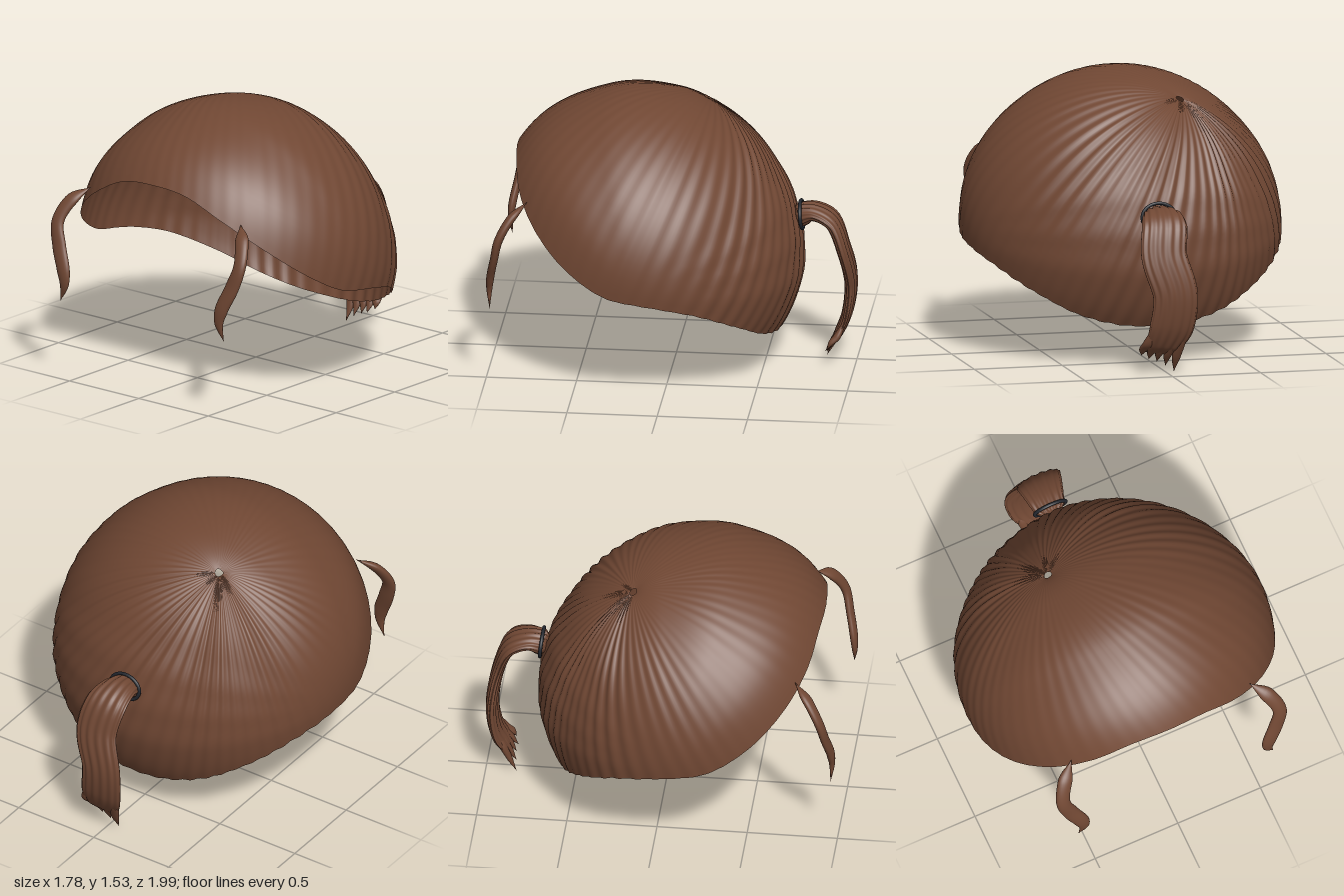
import * as THREE from 'three';

const V = (x, y, z) => new THREE.Vector3(x, y, z);
const hair = new THREE.MeshStandardMaterial({ name: 'brownHair', color: 0x704733, side: THREE.DoubleSide });
const band = new THREE.MeshStandardMaterial({ name: 'darkBand', color: 0x22262d });

// Smooth surface through closed rings of points
function skin(rings) {
  const n = rings[0].length, pos = [], idx = [];
  rings.forEach(r => r.forEach(p => pos.push(p.x, p.y, p.z)));
  for (let i = 0; i < rings.length - 1; i++) {
    for (let j = 0; j < n; j++) {
      const a = i * n + j, b = a + n, c = i * n + (j + 1) % n, d = c + n;
      idx.push(a, b, c, c, b, d);
    }
  }
  const g = new THREE.BufferGeometry();
  g.setAttribute('position', new THREE.Float32BufferAttribute(pos, 3));
  g.setIndex(idx);
  g.computeVertexNormals();
  return g;
}

// Linear lookup in a list of [key, value] pairs with rising keys
function lookup(list, k) {
  if (k <= list[0][0]) return list[0][1];
  for (let i = 1; i < list.length; i++) {
    const [k0, v0] = list[i - 1], [k1, v1] = list[i];
    if (k <= k1) return v0 + (v1 - v0) * THREE.MathUtils.smoothstep(k, k0, k1);
  }
  return list[list.length - 1][1];
}

// Flattened lock of hair: each stop is [x, y, z, halfWidth, halfThickness]
function lock(stops, rows = 40, sides = 24, ridge = 0) {
  const path = new THREE.CatmullRomCurve3(stops.map(s => V(s[0], s[1], s[2])));
  const size = new THREE.CatmullRomCurve3(stops.map(s => V(s[3], s[4], 0)));
  const rings = [];
  for (let i = 0; i <= rows; i++) {
    const t = i / rows, p = path.getPoint(t), T = path.getTangent(t), s = size.getPoint(t);
    const W = V(1, 0, 0).addScaledVector(T, -T.x).normalize();
    const N = T.clone().cross(W);
    rings.push(Array.from({ length: sides }, (_, j) => {
      const a = j / sides * Math.PI * 2;
      const k = 1 + ridge * Math.cos(a * 14);
      return p.clone()
        .addScaledVector(W, Math.cos(a) * Math.max(s.x, 0.001) * (1 + (k - 1) * 0.2))
        .addScaledVector(N, -Math.sin(a) * Math.max(s.y, 0.001) * k);
    }));
  }
  return skin(rings);
}

// Dome: strands sweep from an off-centre crown to a sloping rim
function capGeometry() {
  const centre = V(0, 0.68, 0.16);
  const crown = V(-0.27, 0.737, -0.325).normalize();
  const half = [
    [0.22, 1.18, 0.87], [0.43, 1.07, 0.82], [0.62, 0.92, 0.7], [0.76, 0.75, 0.5], [0.855, 0.635, 0.3],
    [0.885, 0.6, 0.13], [0.87, 0.575, 0], [0.79, 0.515, -0.2], [0.6, 0.395, -0.4], [0.4, 0.295, -0.5], [0.2, 0.225, -0.58],
  ];
  const rim = new THREE.CatmullRomCurve3([
    V(0, 1.2, 0.88), ...half.map(p => V(...p)), V(0, 0.21, -0.6),
    ...half.slice().reverse().map(p => V(-p[0], p[1], p[2])),
  ], true);
  // Radius against the angle from the front, over the top, to the nape
  const profile = [[20, 0.88], [44, 0.89], [74, 0.864], [101, 0.845], [132, 0.828],
    [149, 0.825], [165, 0.84], [179, 0.86], [192, 0.88], [211, 0.888]];
  const segs = 360, rows = 44;
  const ends = Array.from({ length: segs }, (_, j) => rim.getPointAt(j / segs));
  const rings = [];
  for (let i = 0; i <= rows; i++) {
    const v = 0.016 + 0.984 * Math.pow(i / rows, 1.25);
    rings.push(ends.map((e, j) => {
      const dir = e.clone().sub(centre).normalize();
      const ang = crown.angleTo(dir);
      const axis = crown.clone().cross(dir).normalize();
      const d = crown.clone().applyAxisAngle(axis, ang * v);
      let phi = THREE.MathUtils.radToDeg(Math.atan2(d.y, d.z));
      if (phi < -90) phi += 360;
      const base = THREE.MathUtils.lerp(lookup(profile, phi), 0.89, Math.pow(d.x, 4));
      const u = j / segs * Math.PI * 2;
      const back = 1 - THREE.MathUtils.smoothstep(e.z, -0.3, 0.6);
      const amp = (0.0015 + 0.0075 * back) * Math.min(1, v * 2.5) * (1 - 0.5 * v);
      const wave = Math.sin(u * 56 + 1.5 * Math.sin(u * 5)) * (0.75 + 0.25 * Math.sin(u * 9 + 1));
      const dimple = 0.02 * Math.exp(-v * 30);
      return centre.clone().addScaledVector(d, base + amp * wave - dimple);
    }));
  }
  return skin(rings);
}

export function createModel() {
  const model = new THREE.Group();
  const add = (name, geometry, material = hair, parent = model) => {
    const m = new THREE.Mesh(geometry, material);
    m.name = name;
    parent.add(m);
    return m;
  };

  add('hairCap', capGeometry());

  // Wavy face-framing locks, mirrored
  for (const s of [1, -1]) {
    add(s > 0 ? 'leftFrontLock' : 'rightFrontLock', lock([
      [0.54, 1.055, 0.77, 0, 0], [0.615, 0.985, 0.85, 0.042, 0.024], [0.655, 0.87, 0.915, 0.04, 0.024],
      [0.62, 0.74, 0.945, 0.045, 0.022], [0.57, 0.62, 0.97, 0.043, 0.022],
      [0.557, 0.54, 0.977, 0.03, 0.016], [0.588, 0.44, 0.972, 0, 0],
    ].map(([x, ...r]) => [x * s, ...r])));
  }

  // Ponytail with ragged strand ends
  const tail = new THREE.Group();
  tail.name = 'ponytail';
  model.add(tail);
  add('ponytailBody', lock([
    [0, 0.83, -0.645, 0.02, 0.02], [0, 0.84, -0.69, 0.085, 0.06], [0, 0.862, -0.76, 0.105, 0.042],
    [0.01, 0.82, -0.86, 0.125, 0.036], [0.03, 0.66, -0.93, 0.128, 0.032], [-0.025, 0.45, -0.965, 0.125, 0.032],
    [-0.01, 0.27, -0.945, 0.125, 0.028], [0.025, 0.16, -0.9, 0.105, 0.022], [0.035, 0.11, -0.872, 0.085, 0.006],
  ], 60, 112, 0.1), hair, tail);
  const tips = [[-0.05, 0, -0.83], [0, 0.035, -0.835], [0.05, 0.06, -0.84], [0.095, 0.075, -0.835], [0.14, 0.1, -0.85]];
  tips.forEach(([x, y, z], i) => {
    const x0 = -0.08 + i * 0.046;
    add('ponytailTip' + (i + 1), lock([
      [x0, 0.24, -0.935, 0.01, 0.008], [x0 + 0.012, 0.17, -0.902, 0.03, 0.02],
      [(x0 + x) / 2 + 0.012, (0.17 + y) / 2, -0.868, 0.025, 0.015], [x, y, z, 0, 0],
    ], 20, 14), hair, tail);
  });

  // Hair tie around the root of the ponytail
  const tie = add('hairTie', new THREE.TorusGeometry(0.085, 0.01, 12, 48), band);
  tie.scale.set(1.1, 0.9, 1);
  tie.position.set(0, 0.84, -0.694);
  tie.rotation.x = 0.1;

  return model;
}
